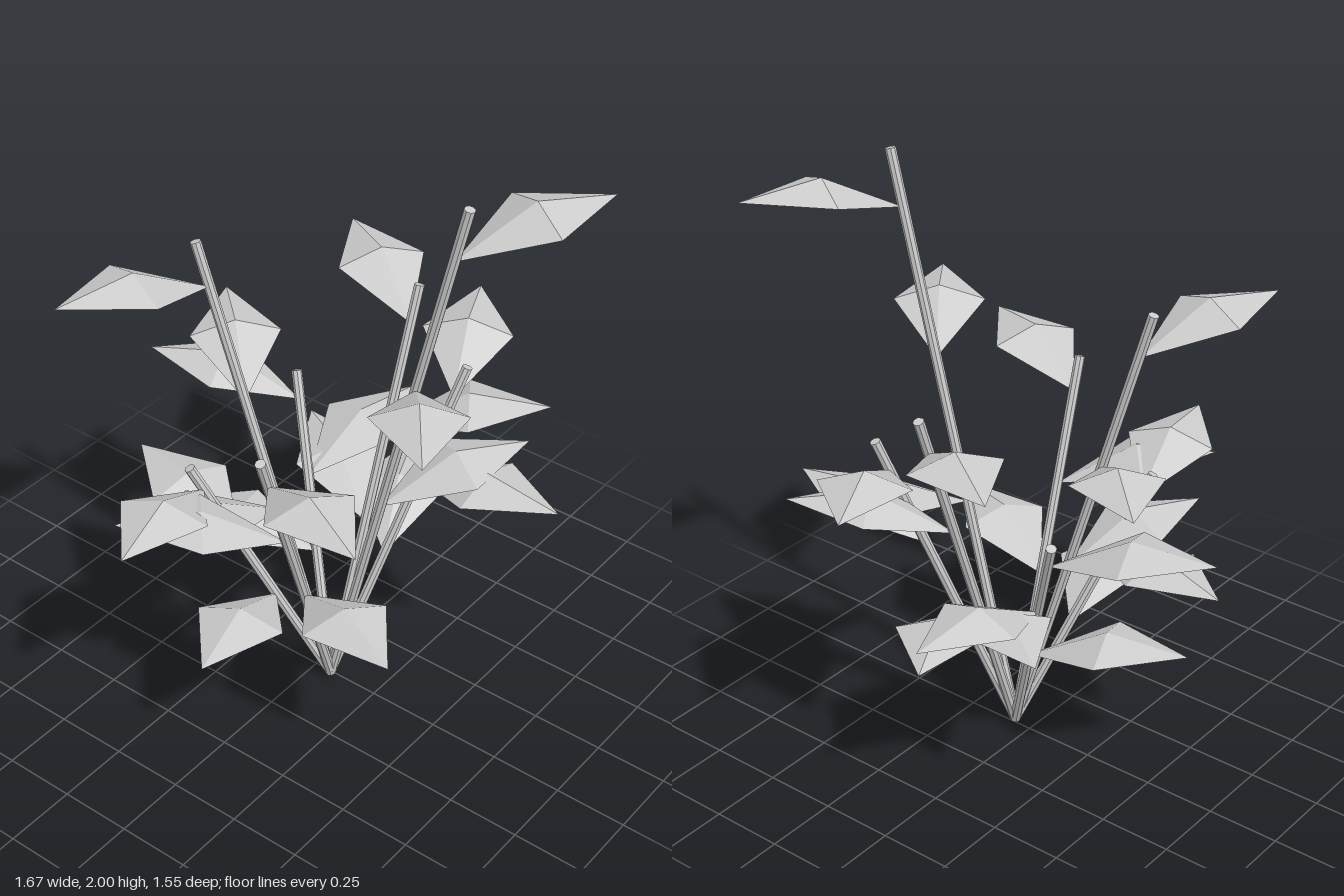
import * as THREE from 'three';

const material = new THREE.MeshStandardMaterial({ color: 0xcccccc, flatShading: true, side: THREE.DoubleSide });

// Kite-shaped leaf along +x with a raised centre and a drooping tip
function leafGeometry() {
  const base = [0, 0, 0], tip = [0.54, 0.1, 0], peak = [0.267, 0.14, 0];
  const left = [0.267, 0.09, -0.153], right = [0.267, 0.09, 0.153];
  const corners = [base, right, tip, left];
  const points = corners.flatMap((c, i) => [...c, ...corners[(i + 1) % 4], ...peak]);
  const geometry = new THREE.BufferGeometry();
  geometry.setAttribute('position', new THREE.Float32BufferAttribute(points, 3));
  geometry.computeVertexNormals();
  return geometry;
}

// Straight stem between two points
function makeStem(from, to) {
  const axis = to.clone().sub(from);
  const stem = new THREE.Mesh(new THREE.CylinderGeometry(0.018, 0.018, axis.length(), 8), material);
  stem.position.copy(from).addScaledVector(axis, 0.5);
  stem.quaternion.setFromUnitVectors(new THREE.Vector3(0, 1, 0), axis.normalize());
  stem.name = 'stem';
  return stem;
}

export function createModel() {
  const plant = new THREE.Group();
  plant.name = 'plant';
  const root = new THREE.Vector3(-0.01, 0.005, 0.07);
  const leaf = leafGeometry();

  // Stem tips, fanned out around the root
  const tips = [
    [0.03, 1.997, 0.53], [-0.12, 1.625, -0.385], [0.46, 1.355, 0.065], [-0.46, 1.205, 0.145],
    [0.385, 1.175, 0.315], [0.28, 0.96, -0.305], [-0.34, 0.935, -0.25],
  ];
  for (const t of tips) {
    const tip = new THREE.Vector3(...t);
    const branch = new THREE.Group();
    branch.name = 'branch';
    branch.add(makeStem(root, tip));

    // Leaves alternate to either side of the stem's heading
    const heading = Math.atan2(tip.z - root.z, tip.x - root.x);
    [0.905, 0.655, 0.405].forEach((f, i) => {
      const mesh = new THREE.Mesh(leaf, material);
      mesh.name = 'leaf';
      mesh.position.lerpVectors(root, tip, f);
      mesh.rotation.y = -(heading + (i % 2 ? 1 : -1));
      branch.add(mesh);
    });
    plant.add(branch);
  }
  return plant;
}
